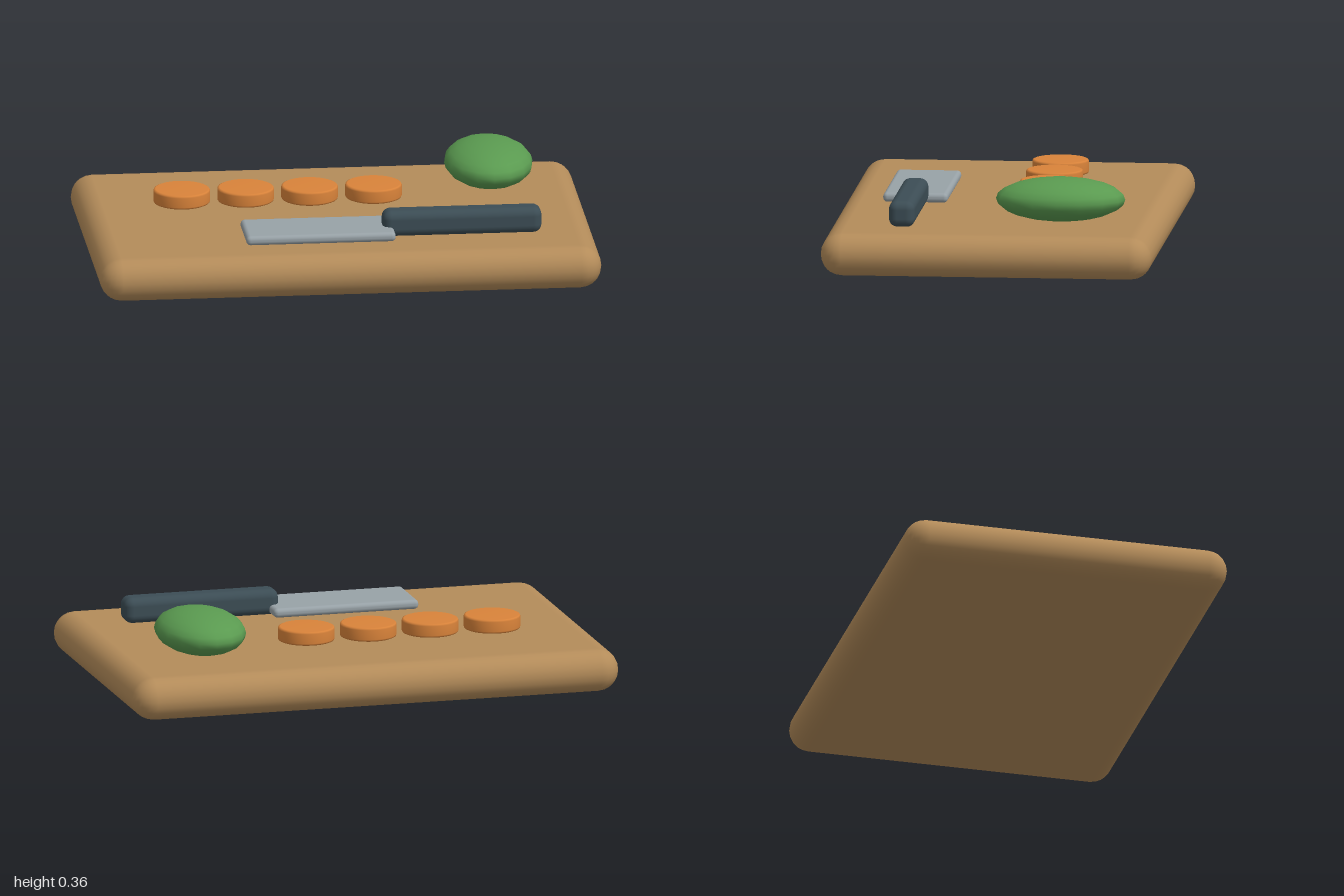
import * as THREE from 'three';
import { RoundedBoxGeometry } from 'three/addons/geometries/RoundedBoxGeometry.js';

const material = (color) => new THREE.MeshStandardMaterial({ color });

export function createModel() {
  const model = new THREE.Group();
  model.name = 'choppingBoardSet';

  const add = (name, geometry, mat, x, y, z) => {
    const mesh = new THREE.Mesh(geometry, mat);
    mesh.name = name;
    mesh.position.set(x, y, z);
    model.add(mesh);
    return mesh;
  };

  // Thick wooden board with fully rounded edges
  add('board', new RoundedBoxGeometry(2, 0.172, 1.32, 3, 0.086), material(0xb48c5a), 0, 0.086, 0);

  // Cleaver: flat blade and chunky handle
  add('knifeBlade', new RoundedBoxGeometry(0.596, 0.038, 0.258, 3, 0.017), material(0x98a2a7), -0.107, 0.197, 0.352);
  add('knifeHandle', new RoundedBoxGeometry(0.634, 0.104, 0.104, 3, 0.034), material(0x3c4d55), 0.465, 0.224, 0.352);

  // Row of carrot slices with softly bevelled rims
  const r = 0.113, h = 0.0285, b = 0.009;
  const slice = new THREE.LatheGeometry([
    [0, -h], [r - b, -h], [r - b * 0.3, -h + b * 0.3], [r, -h + b],
    [r, h - b], [r - b * 0.3, h - b * 0.3], [r - b, h], [0, h],
  ].map(([x, y]) => new THREE.Vector2(x, y)), 32);
  const orange = material(0xd9833a);
  for (let i = 0; i < 4; i++) {
    add(`carrotSlice${i + 1}`, slice, orange, -0.6 + i * 0.255, 0.207, -0.153);
  }

  // Oval green vegetable
  const vegetable = add('greenVegetable', new THREE.SphereGeometry(1, 16, 12), material(0x5a9a50), 0.635, 0.275, -0.27);
  vegetable.scale.set(0.176, 0.087, 0.258);

  return model;
}
